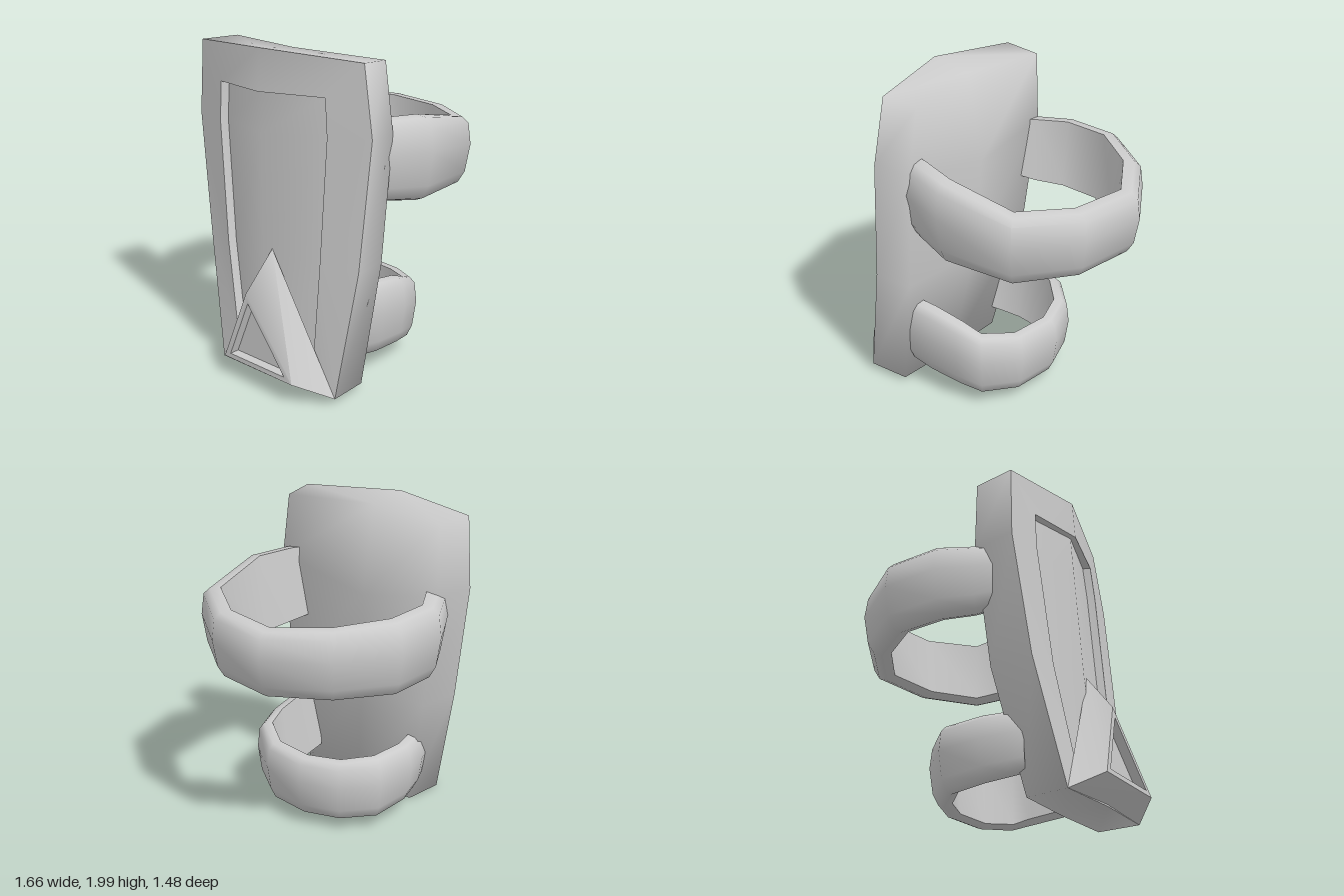
import * as THREE from 'three';
import { toCreasedNormals } from 'three/addons/utils/BufferGeometryUtils.js';

const V = (x, y, z) => new THREE.Vector3(x, y, z);
const mix = (a, b, t) => a.clone().lerp(b, t);

// Collects faces (corners counter-clockwise from outside) into one geometry.
class Faces {
  constructor() { this.list = []; }
  add(...p) {
    for (let i = 1; i < p.length - 1; i++) this.list.push(p[0], p[i], p[i + 1]);
  }
  // Band of quads between two closed loops.
  band(outer, inner) {
    outer.forEach((p, i) => {
      const j = (i + 1) % outer.length;
      this.add(p, outer[j], inner[j], inner[i]);
    });
  }
  build(crease) {
    return toCreasedNormals(new THREE.BufferGeometry().setFromPoints(this.list), crease);
  }
}

// Boundary of a three-column grid, counter-clockwise seen from the outer side.
function boundary(rows) {
  const n = rows.length - 1;
  return [
    ...rows.map(r => r.A), rows[n].B,
    ...rows.map(r => r.C).reverse(), rows[0].B,
  ];
}

// Rows from top to bottom: A, B, C on the outer side, a, b, c on the arm side.
const PLATE = [
  { A: V(-.515, 1.95, -.59), B: V(-.61, 2.0, 0), C: V(-.43, 1.98, .63),
    a: V(-.26, 1.94, -.565), b: V(-.34, 1.96, 0), c: V(-.21, 1.955, .59) },
  { A: V(-.53, 1.5, -.61), B: V(-.64, 1.5, 0), C: V(-.45, 1.57, .71),
    a: V(-.25, 1.5, -.57), b: V(-.245, 1.4, 0), c: V(-.22, 1.55, .66) },
  { A: V(-.58, .76, -.49), B: V(-.67, .78, .03), C: V(-.52, .8, .68),
    a: V(-.29, .76, -.46), b: V(-.28, .77, .03), c: V(-.28, .78, .64) },
  { A: V(-.68, .01, -.30), B: V(-.69, .03, .16), C: V(-.66, .05, .63),
    a: V(-.41, .01, -.28), b: V(-.40, .02, .16), c: V(-.40, .04, .60) },
];

// Arm side, side walls, top and bottom, shaded as one smooth shell.
function shellGeometry() {
  const f = new Faces();
  for (let i = 0; i < PLATE.length - 1; i++) {
    const t = PLATE[i], u = PLATE[i + 1];
    f.add(u.c, u.b, t.b, t.c);
    f.add(u.b, u.a, t.a, t.b);
    f.add(u.a, u.A, t.A, t.a);
    f.add(u.C, u.c, t.c, t.C);
  }
  const t = PLATE[0], u = PLATE[PLATE.length - 1];
  f.add(t.B, t.b, t.a, t.A);
  f.add(t.C, t.c, t.b, t.B);
  f.add(u.A, u.a, u.b, u.B);
  f.add(u.B, u.b, u.c, u.C);
  return f.build(1.8);
}

// Raised rim around a shallow recess.
function outerGeometry() {
  const f = new Faces();
  const blend = (p, q, k) => ({ A: mix(p.A, q.A, k), B: mix(p.B, q.B, k), C: mix(p.C, q.C, k) });
  const inset = [blend(PLATE[0], PLATE[1], .5), PLATE[1], PLATE[2], blend(PLATE[3], PLATE[2], .2)]
    .map(r => ({ A: mix(r.A, r.B, .36), B: r.B, C: mix(r.C, r.B, .38) }));
  const floor = inset.map(r => ({
    A: r.A.clone().add(V(.045, 0, .02)),
    B: r.B.clone().add(V(.035, 0, 0)),
    C: r.C.clone().add(V(.045, 0, -.02)),
  }));
  f.band(boundary(PLATE), boundary(inset));
  f.band(boundary(inset), boundary(floor));
  for (let i = 0; i < floor.length - 1; i++) {
    const p = floor[i], q = floor[i + 1];
    f.add(q.A, q.B, p.B, p.A);
    f.add(q.B, q.C, p.C, p.B);
  }
  return f.build(.7);
}

// Pointed boss with a sunken triangular face.
function spikeGeometry() {
  const f = new Faces();
  const apex = V(-.62, .82, .09), nose = V(-.80, .58, .05);
  const tipBack = V(-.83, .13, -.12), tipFront = V(-.83, .14, .45);
  const footBack = V(-.68, .01, -.30), footFront = V(-.66, .05, .63);
  f.add(apex, footBack, tipBack, nose);
  f.add(apex, nose, tipFront, footFront);
  f.add(footBack, footFront, tipFront, tipBack);

  const face = [tipBack, tipFront, nose];
  const centre = V(-.82, .28, .13);
  const inset = face.map(p => mix(p, centre, .2));
  const floor = inset.map(p => p.clone().add(V(.06, 0, 0)));
  f.band(face, inset);
  f.band(inset, floor);
  f.add(...floor);
  return f.build(.7);
}

// Strap section: rounded outside, flat inside with sharp corners.
// Each point is an outward offset and a share of the strap height.
const SECTION = [
  [-.015, .9], [-.05, .985], [-.11, 1], [-.155, .06],
  [-.10, 0], [-.06, .04], [-.025, .2], [0, .6],
];

// Stations run from the back end round to the front end: x, z, bottom y, top y.
function strapGeometry(thickness, stations) {
  const f = new Faces();
  const last = stations.length - 1;
  const rings = stations.map(([x, z, y0, y1], i) => {
    const p = stations[Math.max(i - 1, 0)], q = stations[Math.min(i + 1, last)];
    const len = Math.hypot(q[0] - p[0], q[1] - p[1]) / thickness;
    const nx = (q[1] - p[1]) / len, nz = -(q[0] - p[0]) / len;
    return SECTION.map(([n, v]) => V(x + nx * n, y0 + (y1 - y0) * v, z + nz * n));
  });
  for (let s = 0; s < last; s++) {
    SECTION.forEach((_, i) => {
      const j = (i + 1) % SECTION.length;
      f.add(rings[s][i], rings[s][j], rings[s + 1][j], rings[s + 1][i]);
    });
  }
  f.add(...[...rings[0]].reverse());
  f.add(...rings[last]);
  return f.build(.95);
}

export function createModel() {
  const group = new THREE.Group();
  const material = new THREE.MeshStandardMaterial({ color: 0xcccccc });
  const add = (name, geometry) => {
    const mesh = new THREE.Mesh(geometry, material);
    mesh.name = name;
    group.add(mesh);
  };

  add('plateShell', shellGeometry());
  add('plateRim', outerGeometry());
  add('lowerSpike', spikeGeometry());

  add('upperStrap', strapGeometry(1.15, [
    [-.37, -.565, 1.12, 1.52], [-.28, -.62, 1.09, 1.52], [-.07, -.74, 1.06, 1.515],
    [.28, -.735, 1.05, 1.505], [.61, -.51, 1.05, 1.48], [.83, -.15, 1.05, 1.46],
    [.77, .29, 1.05, 1.47], [.52, .65, 1.06, 1.50], [.05, .735, 1.08, 1.60],
    [-.22, .67, 1.12, 1.615], [-.32, .64, 1.14, 1.61],
  ]));

  add('lowerStrap', strapGeometry(.9, [
    [-.45, -.37, .15, .51], [-.36, -.41, .13, .51], [-.20, -.45, .11, .505],
    [.08, -.43, .09, .50], [.27, -.25, .08, .48], [.36, 0, .08, .475],
    [.33, .30, .08, .48], [.19, .525, .10, .52], [.02, .575, .12, .57],
    [-.20, .595, .14, .61], [-.36, .60, .17, .615],
  ]));

  return group;
}
